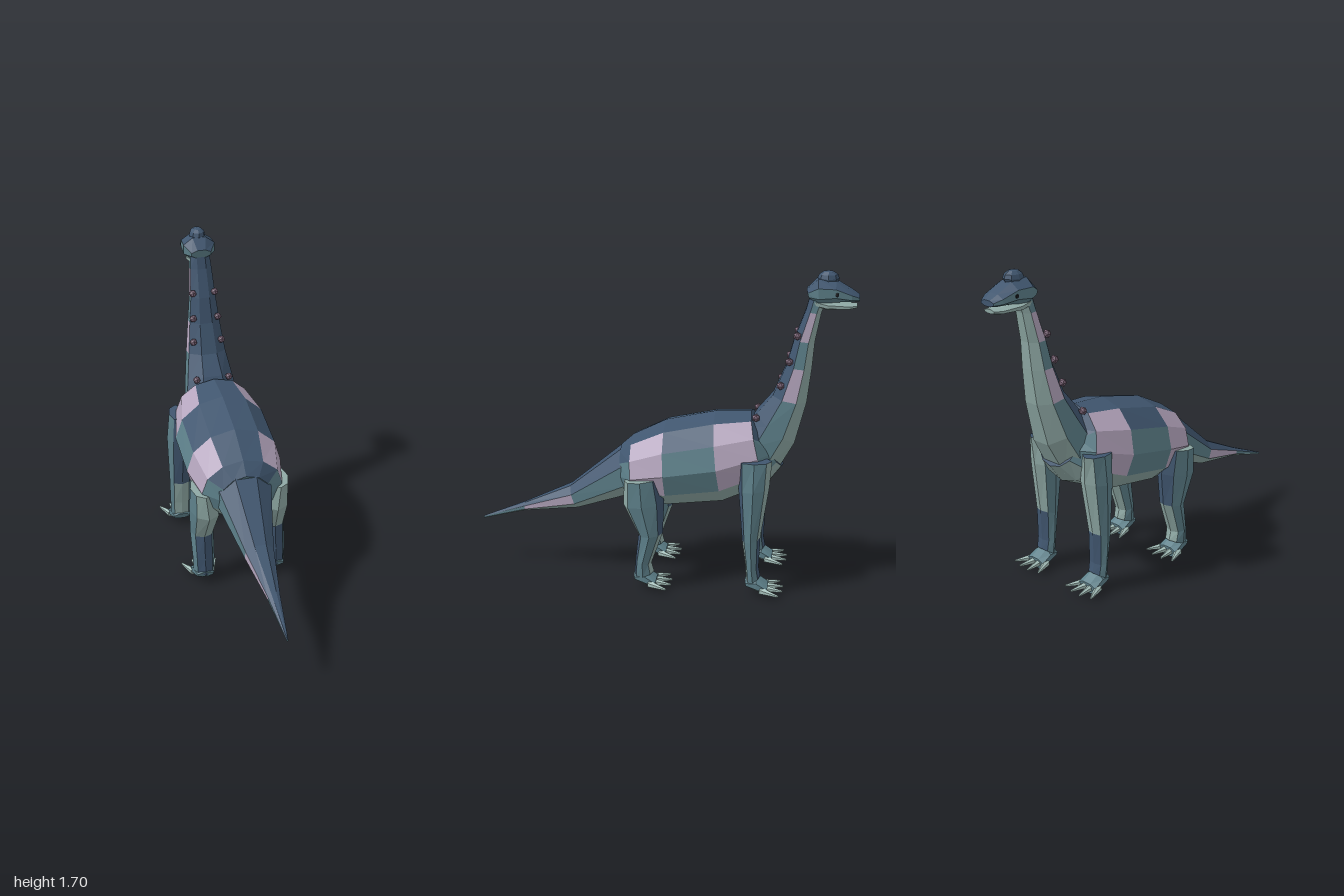
import * as THREE from 'three';

const mat = (name, color) => Object.assign(new THREE.MeshStandardMaterial({ color, flatShading: true }), { name });
const NAVY = 0, TEAL = 1, LILAC = 2, PALE = 3;
const skin = [mat('navy', 0x40566f), mat('teal', 0x5e818b), mat('lilac', 0xb5a6be), mat('paleBelly', 0x8fa9a5)];
const clawMat = mat('claw', 0xa9c4bf);
const knobMat = mat('mauve', 0x7d6679);
const eyeMat = mat('eye', 0x15181c);

// Loft through rings [topZ, topY, bottomZ, bottomY, halfWidth, centreX], running towards -z or upwards.
// "top" is the dorsal or rear edge. flat = true puts a face, rather than a corner, on top.
function loft(name, rings, n, flat, colorOf) {
  const off = flat ? -Math.PI / n : 0, k = 1 / Math.cos(off);
  const pts = rings.map(([tz, ty, bz, by, hw, cx = 0]) => Array.from({ length: n }, (_, j) => {
    const a = off + j * 2 * Math.PI / n, c = Math.cos(a) * k / 2;
    return [cx + hw * k * Math.sin(a), (ty + by) / 2 + (ty - by) * c, (tz + bz) / 2 + (tz - bz) * c];
  }));
  const faces = skin.map(() => []);
  for (let i = 0; i < rings.length - 1; i++) {
    for (let j = 0; j < n; j++) {
      const a = pts[i][j], b = pts[i][(j + 1) % n], c = pts[i + 1][(j + 1) % n], d = pts[i + 1][j];
      faces[colorOf(i, j)].push(...a, ...b, ...c, ...a, ...c, ...d);
    }
  }
  const first = pts[0], last = pts[pts.length - 1];
  for (let j = 1; j < n - 1; j++) {
    faces[colorOf(0, 2)].push(...first[0], ...first[j + 1], ...first[j]);
    faces[colorOf(rings.length - 2, 0)].push(...last[0], ...last[j], ...last[j + 1]);
  }
  const g = new THREE.BufferGeometry();
  g.setAttribute('position', new THREE.Float32BufferAttribute(faces.flat(), 3));
  let start = 0;
  faces.forEach((f, m) => { g.addGroup(start, f.length / 3, m); start += f.length / 3; });
  g.computeVertexNormals();
  const mesh = new THREE.Mesh(g, skin);
  mesh.name = name;
  return mesh;
}

// Colour of an eight-sided flat-topped ring: navy back, coloured flanks, pale underside
const octBand = (j, side) => (j <= 1 || j === 7 ? NAVY : j === 2 || j === 6 ? side : PALE);

function makeFoot(name, x, dz) {
  const foot = new THREE.Group();
  foot.name = name;
  foot.add(loft('sole', [
    [0.122, 0.08, 0.11, 0.045, 0.045],
    [0.06, 0.1, 0.06, 0.02, 0.058],
    [0.0, 0.06, 0.005, 0.005, 0.062],
  ], 8, true, (i, j) => (j >= 3 && j <= 5 ? PALE : TEAL)));
  // Four fanned toes with claws
  for (let t = 0; t < 4; t++) {
    const s = (t - 1.5) / 1.5;
    const g = new THREE.CylinderGeometry(0.006, 0.021, 0.105, 6);
    g.rotateX(-Math.PI / 2);
    g.translate(0, 0, -0.052);
    const claw = new THREE.Mesh(g, clawMat);
    claw.name = 'claw';
    claw.position.set(s * 0.05, 0.036, 0.02 + 0.015 * Math.abs(s));
    claw.rotation.set(-0.06, -s * 0.45, 0, 'YXZ');
    foot.add(claw);
  }
  foot.position.set(x, 0, dz);
  return foot;
}

function makeLeg(name, rings, s, upper, lower, dz) {
  const leg = new THREE.Group();
  leg.name = name;
  leg.add(loft('limb', rings.map(r => [...r.slice(0, 5), r[5] * s]), 8, false, (i, j) => {
    const [back, front] = i >= 2 ? upper : lower;
    return j === 0 || j === 7 ? back : j === 3 || j === 4 ? front : TEAL;
  }));
  leg.add(makeFoot('foot', 0.2 * s, dz));
  return leg;
}

export function createModel() {
  const model = new THREE.Group();
  model.name = 'longNeckedDinosaur';

  // Barrel body with lilac patches
  model.add(loft('body', [
    [0.22, 0.73, 0.19, 0.46, 0.14],
    [0.155, 0.79, 0.13, 0.43, 0.22],
    [-0.02, 0.88, -0.05, 0.42, 0.26],
    [-0.28, 0.94, -0.34, 0.455, 0.26],
    [-0.47, 0.95, -0.57, 0.56, 0.21],
    [-0.52, 0.86, -0.645, 0.66, 0.13],
  ], 12, false, (i, j) => {
    const q = Math.min(j, 11 - j), patch = i === 1 || i === 3;
    if (q === 0) return NAVY;
    if (q >= 4) return PALE;
    return patch ? LILAC : q === 1 ? NAVY : TEAL;
  }));

  // Tapering tail, tip first
  model.add(loft('tail', [
    [1.0, 0.268, 1.0, 0.255, 0.004],
    [0.76, 0.365, 0.76, 0.32, 0.032],
    [0.5, 0.485, 0.46, 0.362, 0.075],
    [0.215, 0.72, 0.19, 0.46, 0.14],
    [0.12, 0.76, 0.12, 0.47, 0.15],
  ], 8, true, (i, j) => octBand(j, i === 1 ? LILAC : TEAL)));

  // Neck
  model.add(loft('neck', [
    [-0.46, 0.88, -0.6, 0.62, 0.15],
    [-0.5, 0.95, -0.7, 0.8, 0.13],
    [-0.58, 1.05, -0.755, 1.02, 0.105],
    [-0.645, 1.21, -0.775, 1.2, 0.085],
    [-0.68, 1.35, -0.785, 1.34, 0.07],
    [-0.733, 1.5, -0.812, 1.49, 0.06],
    [-0.755, 1.59, -0.83, 1.54, 0.053],
  ], 8, true, (i, j) => octBand(j, i === 2 || i === 4 ? LILAC : TEAL)));

  // Head: skull, lower jaw, crown and eyes
  const head = new THREE.Group();
  head.name = 'head';
  head.add(loft('skull', [
    [-0.735, 1.61, -0.75, 1.56, 0.055],
    [-0.79, 1.665, -0.8, 1.535, 0.087],
    [-0.88, 1.655, -0.88, 1.55, 0.082],
    [-0.96, 1.61, -0.96, 1.552, 0.068],
    [-1.0, 1.585, -1.0, 1.556, 0.045],
  ], 8, true, (i, j) => (j <= 1 || j === 7 ? NAVY : TEAL)));
  head.add(loft('lowerJaw', [
    [-0.77, 1.565, -0.78, 1.52, 0.055],
    [-0.84, 1.55, -0.84, 1.508, 0.062],
    [-0.95, 1.54, -0.95, 1.512, 0.052],
    [-0.99, 1.54, -0.99, 1.52, 0.036],
  ], 8, true, () => PALE));
  const crown = new THREE.Mesh(new THREE.SphereGeometry(0.05, 8, 6), skin[NAVY]);
  crown.name = 'crown';
  crown.scale.set(0.9, 0.8, 1.1);
  crown.position.set(0, 1.665, -0.84);
  head.add(crown);
  model.add(head);

  // Legs: rings run from ankle to hip
  const hind = [
    [0.123, 0.06, 0.016, 0.09, 0.058, 0.2],
    [0.115, 0.16, 0.03, 0.14, 0.06, 0.2],
    [0.1, 0.3, -0.03, 0.315, 0.065, 0.2],
    [0.18, 0.46, -0.036, 0.49, 0.085, 0.19],
    [0.175, 0.6, -0.01, 0.625, 0.065, 0.205],
  ];
  const fore = [
    [-0.477, 0.06, -0.55, 0.1, 0.058, 0.2],
    [-0.47, 0.16, -0.54, 0.15, 0.06, 0.2],
    [-0.45, 0.3, -0.545, 0.32, 0.063, 0.2],
    [-0.425, 0.58, -0.585, 0.6, 0.08, 0.19],
    [-0.418, 0.74, -0.595, 0.745, 0.055, 0.2],
  ];
  for (const s of [1, -1]) {
    const side = s > 0 ? 'Left' : 'Right';
    model.add(makeLeg('hindLeg' + side, hind, s, [PALE, NAVY], [NAVY, PALE], 0));
    model.add(makeLeg('foreLeg' + side, fore, s, [NAVY, PALE], [PALE, NAVY], -0.592));

    const eye = new THREE.Mesh(new THREE.SphereGeometry(0.011, 6, 4), eyeMat);
    eye.name = 'eye' + side;
    eye.position.set(0.081 * s, 1.597, -0.887);
    eye.scale.x = 0.5;
    head.add(eye);

    // Row of knobs along the nape
    for (const [x, y, z] of [[0.062, 1.375, -0.697], [0.07, 1.24, -0.66], [0.08, 1.115, -0.62], [0.092, 0.94, -0.5]]) {
      const knob = new THREE.Mesh(new THREE.IcosahedronGeometry(0.022, 0), knobMat);
      knob.name = 'neckKnob' + side;
      knob.position.set(x * s, y, z);
      model.add(knob);
    }
  }
  return model;
}
